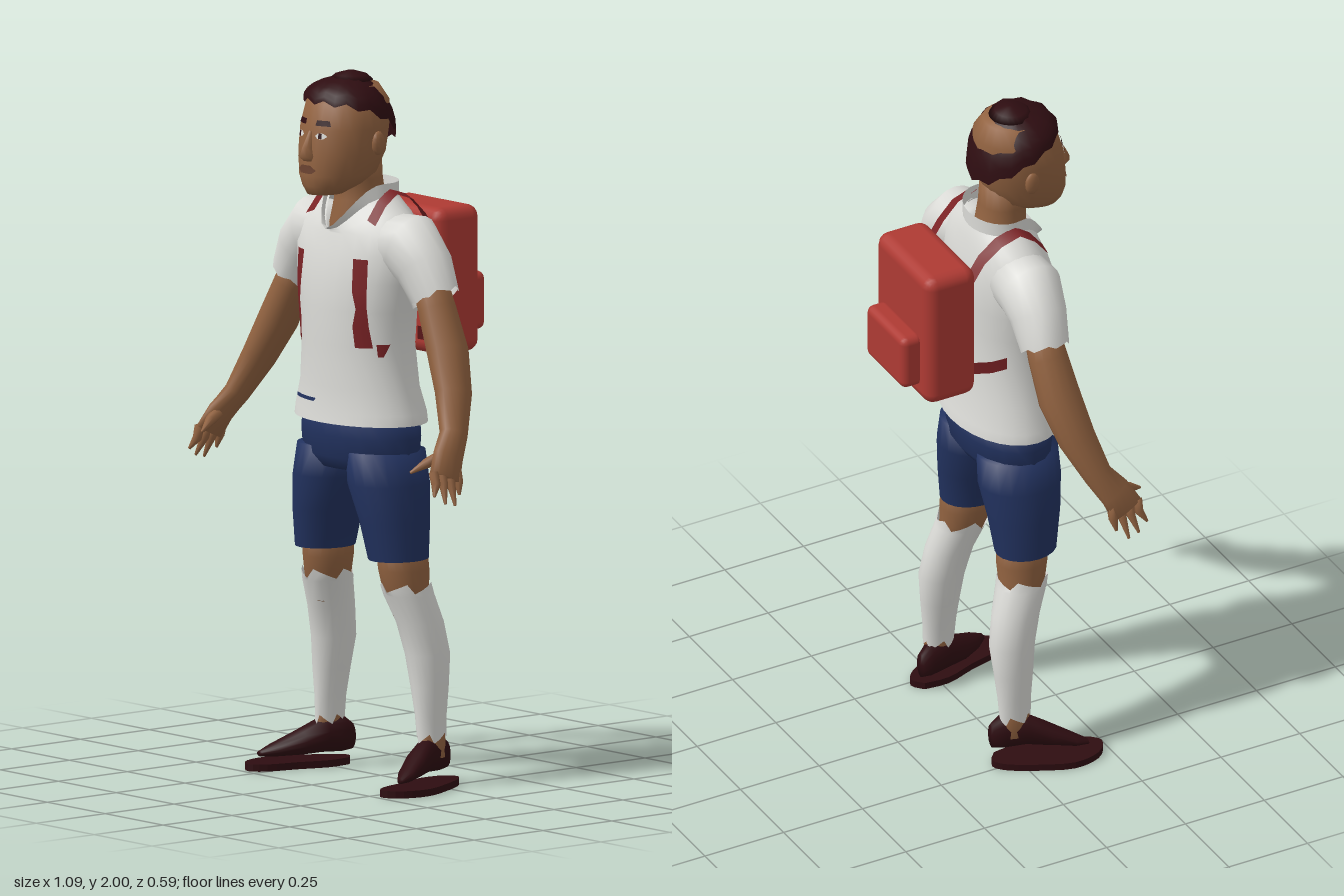
import * as THREE from 'three';
import { RoundedBoxGeometry } from 'three/addons/geometries/RoundedBoxGeometry.js';

const mat = (name, color, double) => {
  const m = new THREE.MeshStandardMaterial({ color });
  m.name = name;
  if (double) m.side = THREE.DoubleSide;
  return m;
};
const V = (x, y, z) => new THREE.Vector3(x, y, z);
const Y = V(0, 1, 0), Z = V(0, 0, 1);

// Skin through elliptical rings [x, y, z, ru, rv]; rings face `axis`, or follow the path when it is null
function loft(rings, { axis = Y, ref = Z, seg = 20, bottom = true, top = true, edit } = {}) {
  const pos = [], idx = [], n = rings.length;
  const c = rings.map(r => V(r[0], r[1], r[2]));
  rings.forEach((r, i) => {
    const t = axis ? axis.clone()
      : c[Math.min(i + 1, n - 1)].clone().sub(c[Math.max(i - 1, 0)]).normalize();
    const v = ref.clone().addScaledVector(t, -ref.dot(t)).normalize();
    const u = t.clone().cross(v);
    for (let j = 0; j < seg; j++) {
      const a = j / seg * Math.PI * 2;
      const p = c[i].clone().addScaledVector(u, r[3] * Math.sin(a)).addScaledVector(v, r[4] * Math.cos(a));
      if (edit) edit(p, i, a, j);
      pos.push(p.x, p.y, p.z);
    }
  });
  for (let i = 0; i < n - 1; i++) for (let j = 0; j < seg; j++) {
    const k = (j + 1) % seg, a = i * seg + j, b = i * seg + k;
    idx.push(a, b, a + seg, b, b + seg, a + seg);
  }
  const cap = (i, flip) => {
    const m = pos.length / 3;
    pos.push(...c[i].toArray());
    for (let j = 0; j < seg; j++) {
      const a = i * seg + j, b = i * seg + (j + 1) % seg;
      idx.push(m, flip ? b : a, flip ? a : b);
    }
  };
  if (bottom) cap(0, true);
  if (top) cap(n - 1, false);
  return finish(pos, idx);
}

function finish(pos, idx) {
  const g = new THREE.BufferGeometry();
  g.setAttribute('position', new THREE.Float32BufferAttribute(pos, 3));
  g.setIndex(idx);
  g.computeVertexNormals();
  return g;
}

// Strip through rows of points
function ribbon(rows) {
  const w = rows[0].length, idx = [];
  for (let i = 0; i < rows.length - 1; i++) for (let j = 0; j < w - 1; j++) {
    const a = i * w + j;
    idx.push(a, a + 1, a + w, a + 1, a + w + 1, a + w);
  }
  return finish(rows.flat(2), idx);
}

// Thin patch lying on the front of lofted rings; rows are [y, x0, x1], rising
function patch(rings, rows, off = 0.004) {
  const front = (x, y) => {
    let i = 0;
    while (i < rings.length - 2 && rings[i + 1][1] < y) i++;
    const a = rings[i], b = rings[i + 1], t = (y - a[1]) / (b[1] - a[1]);
    const [cz, rx, rz] = [2, 3, 4].map(k => a[k] + (b[k] - a[k]) * t);
    return cz + rz * Math.sqrt(Math.max(0, 1 - (x / rx) ** 2)) + off;
  };
  return ribbon(rows.map(([y, x0, x1]) => [0, 1 / 3, 2 / 3, 1].map(t => {
    const x = x0 + (x1 - x0) * t;
    return [x, y, front(x, y)];
  })));
}

function mirrored(geo) {
  const g = geo.clone().scale(-1, 1, 1);
  const old = g.index ? [...g.index.array] : [...Array(g.attributes.position.count).keys()];
  for (let i = 0; i < old.length; i += 3) [old[i], old[i + 1]] = [old[i + 1], old[i]];
  g.setIndex(old);
  return g;
}

export function createModel() {
  const model = new THREE.Group();
  model.name = 'hiker';
  const cloth = mat('white cloth', 0xdcdcd8, true), skin = mat('skin', 0x916240);
  const navy = mat('navy cloth', 0x22325f, true), dark = mat('dark hair and leather', 0x2e0d11, true);
  const red = mat('red pack', 0xae3a33), strapRed = mat('strap red', 0x7a2225, true);
  const lip = mat('lip', 0x6a4230, true);
  const add = (name, geo, m) => {
    const mesh = new THREE.Mesh(geo, m);
    mesh.name = name;
    model.add(mesh);
  };
  const pair = (name, geo, m) => {
    add(name + 'Left', geo, m);
    add(name + 'Right', mirrored(geo), m);
  };

  // Shirt with a V neck cut into its upper rings
  const torso = [
    [0, 1.02, .07, .225, .152], [0, 1.05, .07, .222, .148], [0, 1.12, .075, .2, .137],
    [0, 1.24, .08, .185, .135], [0, 1.34, .08, .198, .135], [0, 1.42, .077, .215, .135],
    [0, 1.5, .07, .232, .127], [0, 1.56, .065, .222, .112], [0, 1.61, .06, .17, .097],
    [0, 1.64, .06, .125, .087], [0, 1.66, .06, .1, .08]];
  const vNeck = (p, i, a) => {
    const f = Math.max(0, Math.cos(a)) ** 4, h = Math.max(0, p.y - 1.55);
    p.y -= f * h * .9;
    p.z += f * h * .4;
  };
  add('shirt', loft(torso, { seg: 28, bottom: false, top: false, edit: vNeck }), cloth);
  add('collar', loft([[0, 1.645, .06, .112, .085], [0, 1.69, .06, .112, .086]],
    { seg: 28, bottom: false, top: false, edit: vNeck }), cloth);
  pair('sleeve', loft([[.12, 1.52, .06, .09, .09], [.2, 1.52, .058, .1, .092],
    [.255, 1.47, .055, .085, .08], [.3, 1.385, .052, .072, .068]],
  { axis: null, top: false, edit: (p, i, a, j) => { if (i === 3) p.y += (j % 3) * .006; } }), cloth);
  add('shirtMark', patch(torso, [[1.075, -.14, -.03], [1.085, -.14, -.02]]), navy);

  // Arms and hands
  pair('arm', loft([[.27, 1.44, .052, .05, .05], [.31, 1.36, .055, .052, .056], [.365, 1.25, .063, .054, .062],
    [.42, 1.14, .088, .045, .055], [.468, 1.035, .128, .033, .042], [.492, .98, .168, .026, .048],
    [.51, .925, .195, .02, .052]], { axis: null, seg: 14 }), skin);
  [[.525, .875, .15, .155], [.543, .85, .178, .185], [.54, .858, .205, .218], [.53, .88, .232, .25]]
    .forEach(([x, y, z0, z1], k) => pair('finger' + (k + 1),
      loft([[.506, .945, z0, .015, .014], [.516, .91, z0, .014, .013], [x, y, z1, .004, .004]],
        { axis: null, seg: 7 }), skin));
  pair('thumb', loft([[.485, .985, .18, .018, .018], [.468, .965, .225, .015, .015], [.45, .94, .27, .004, .004]],
    { axis: null, ref: Y, seg: 7 }), skin);

  // Neck and head
  add('neck', loft([[0, 1.5, .06, .09, .1], [0, 1.57, .07, .085, .092], [0, 1.64, .075, .075, .07],
    [0, 1.7, .08, .07, .066], [0, 1.78, .1, .078, .08]]), skin);
  const head = [[0, 1.665, .2, .045, .055], [0, 1.69, .175, .075, .09], [0, 1.72, .155, .098, .115],
    [0, 1.78, .14, .116, .127], [0, 1.85, .13, .123, .125], [0, 1.92, .118, .116, .116], [0, 1.965, .11, .08, .08]];
  add('head', loft(head, { seg: 24 }), skin);
  add('nose', loft([[0, 1.762, .25, .022, .028], [0, 1.775, .262, .024, .033], [0, 1.8, .258, .015, .026],
    [0, 1.845, .245, .009, .014]], { seg: 8 }), skin);
  pair('ear', new THREE.SphereGeometry(1, 10, 8).scale(.012, .034, .022).translate(.121, 1.81, .11), skin);
  add('mouth', patch(head, [[1.727, -.022, .022], [1.737, -.036, .036], [1.75, -.018, .018]]), lip);
  pair('eyebrow', patch(head, [[1.862, .02, .066], [1.877, .022, .06]]), dark);
  pair('eye', patch(head, [[1.826, .033, .05], [1.834, .024, .06], [1.842, .033, .05]], .003), cloth);
  pair('pupil', patch(head, [[1.827, .037, .047], [1.842, .037, .047]], .006), dark);

  // Hair cap: low at the nape, raised and jagged at the fringe
  const hairRings = [0, .2, .4, .6, .78, .92].map(t => [0, t, .112, .132, .128]);
  add('hair', loft(hairRings, {
    seg: 24, bottom: false, top: false, edit: (p, i, a, j) => {
      const t = p.y, c = Math.cos(a);
      const low = 1.88 + .062 * c - .025 * c * c + (j % 2 ? .014 : 0);
      const k = Math.pow(1 - t * t, .55);
      p.x *= k;
      p.z = .108 + (p.z - .108) * k;
      p.y = low + (1.99 - low) * t;
    }
  }), dark);
  add('hairCrown', loft([[0, 1.975, .108, .062, .062], [0, 1.99, .108, .045, .045], [0, 2, .108, .012, .012]],
    { seg: 24 }), dark);

  // Shorts
  add('shortsSeat', loft([[0, .885, .07, .16, .1], [0, .92, .07, .205, .123], [0, .98, .07, .208, .13],
    [0, 1.05, .07, .2, .13]]), navy);
  pair('shortsLeg', loft([[.158, .64, .068, .076, .09], [.144, .75, .07, .088, .106], [.118, .85, .07, .107, .12],
    [.105, .94, .07, .1, .118]], { bottom: false }), navy);

  // Legs, socks, shoes and soles
  pair('knee', loft([[.18, .48, .035, .05, .058], [.168, .56, .05, .062, .068], [.163, .61, .053, .067, .074],
    [.157, .7, .06, .068, .076]]), skin);
  pair('sock', loft([[.22, .135, 0, .031, .047], [.217, .2, 0, .035, .05], [.212, .28, .0, .046, .058],
    [.203, .37, .0, .057, .067], [.192, .46, .018, .061, .07], [.175, .54, .045, .068, .073],
    [.17, .562, .05, .07, .074]], {
    bottom: false, top: false,
    edit: (p, i, a, j) => { if (i === 0 || i === 6) p.y += (j % 4 - 1.5) * .009; }
  }), cloth);
  pair('ankle', loft([[.225, .08, 0, .028, .042], [.221, .17, 0, .028, .042]]), skin);
  pair('shoe', loft([[.205, .08, -.066, .02, .038], [.21, .09, -.035, .034, .052], [.224, .09, .025, .039, .05],
    [.25, .07, .085, .043, .035], [.283, .052, .145, .034, .019], [.303, .042, .184, .012, .008]],
  { axis: Z, ref: Y, seg: 14 }), dark);
  const outline = new THREE.SplineCurve([[.2, -.055], [.235, -.08], [.275, -.05], [.32, .03], [.355, .12],
    [.34, .2], [.29, .238], [.25, .2], [.225, .11], [.195, .02], [.2, -.055]]
    .map(([x, z]) => new THREE.Vector2(x, -z)));
  pair('sole', new THREE.ExtrudeGeometry(new THREE.Shape(outline.getPoints(30)),
    { depth: .02, bevelEnabled: false }).rotateX(-Math.PI / 2), dark);

  // Backpack with chamfered edges, outer pocket and straps
  add('backpack', new RoundedBoxGeometry(.312, .415, .16, 2, .035).translate(0, 1.398, -.16), red);
  add('backpackPocket', new RoundedBoxGeometry(.22, .165, .07, 2, .022).translate(0, 1.323, -.26), red);
  pair('frontStrap', patch(torso, [[1.24, .115, .155], [1.3, .11, .15], [1.35, .12, .148], [1.4, .11, .15],
    [1.49, .106, .15]]), strapRed);
  pair('strapEnd', patch(torso, [[1.215, .165, .174], [1.25, .162, .181]]), strapRed);
  const over = [[.115, 1.595, .145], [.112, 1.645, .105], [.108, 1.675, .06], [.106, 1.655, 0],
    [.1, 1.61, -.05], [.1, 1.55, -.09]];
  pair('shoulderStrap', ribbon(over.map(([x, y, z]) => [[x, y, z], [x + .035, y - .012, z]])), strapRed);
  pair('lowerStrap', ribbon([[.12, 1.25, -.085], [.15, 1.255, -.035], [.166, 1.265, .005]]
    .map(([x, y, z]) => [[x, y - .012, z], [x, y + .025, z]])), strapRed);

  return model;
}
